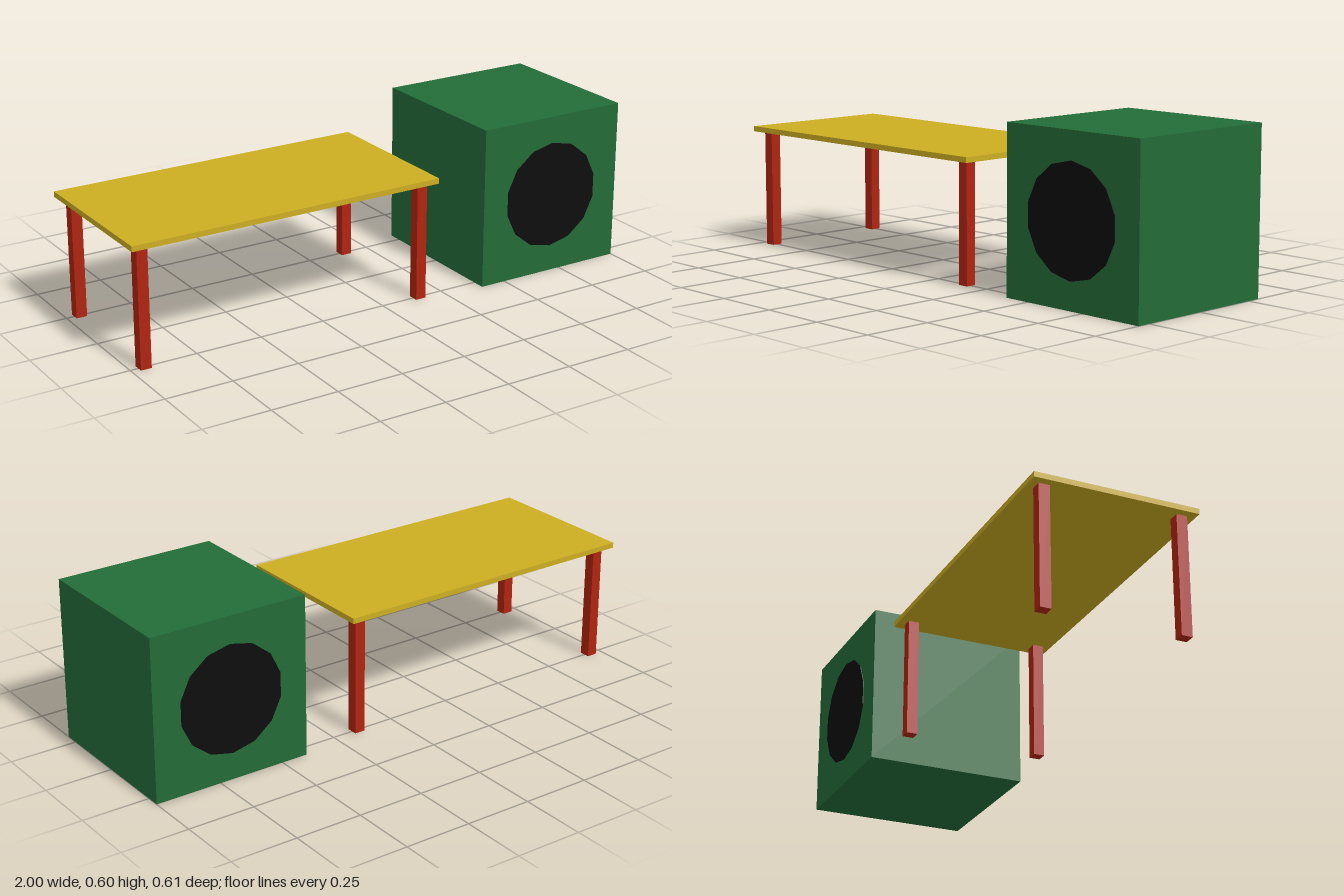
import * as THREE from 'three';

const material = (name, color) => {
  const m = new THREE.MeshStandardMaterial({ color });
  m.name = name;
  return m;
};

export function createModel() {
  const model = new THREE.Group();
  const yellow = material('yellow', 0xccae22);
  const red = material('red', 0xb02410);
  const green = material('green', 0x236c38);
  const black = material('black', 0x0d0d0d);

  const add = (parent, name, geometry, mat, x, y, z) => {
    const mesh = new THREE.Mesh(geometry, mat);
    mesh.name = name;
    mesh.position.set(x, y, z);
    parent.add(mesh);
    return mesh;
  };

  // Table: thin top on four square legs
  const table = new THREE.Group();
  table.name = 'table';
  table.position.x = -0.4;
  add(table, 'tableTop', new THREE.BoxGeometry(1.2, 0.02, 0.6), yellow, 0, 0.45, 0);
  const legGeometry = new THREE.BoxGeometry(0.04, 0.44, 0.04);
  for (const sx of [-1, 1]) {
    for (const sz of [-1, 1]) {
      add(table, 'tableLeg', legGeometry, red, sx * 0.55, 0.22, sz * 0.25);
    }
  }

  // Cube with a thin fourteen-sided disc on its front and back
  const cube = new THREE.Group();
  cube.name = 'cube';
  cube.position.set(0.7, 0.3, 0);
  add(cube, 'cubeBody', new THREE.BoxGeometry(0.6, 0.6, 0.6), green, 0, 0, 0);
  const discGeometry = new THREE.CylinderGeometry(0.2, 0.2, 0.004, 14).toNonIndexed();
  discGeometry.rotateX(-Math.PI / 2); // one corner points straight up
  discGeometry.computeVertexNormals();
  add(cube, 'frontDisc', discGeometry, black, 0, 0, 0.301);
  add(cube, 'backDisc', discGeometry, black, 0, 0, -0.301);

  model.add(table, cube);
  return model;
}
